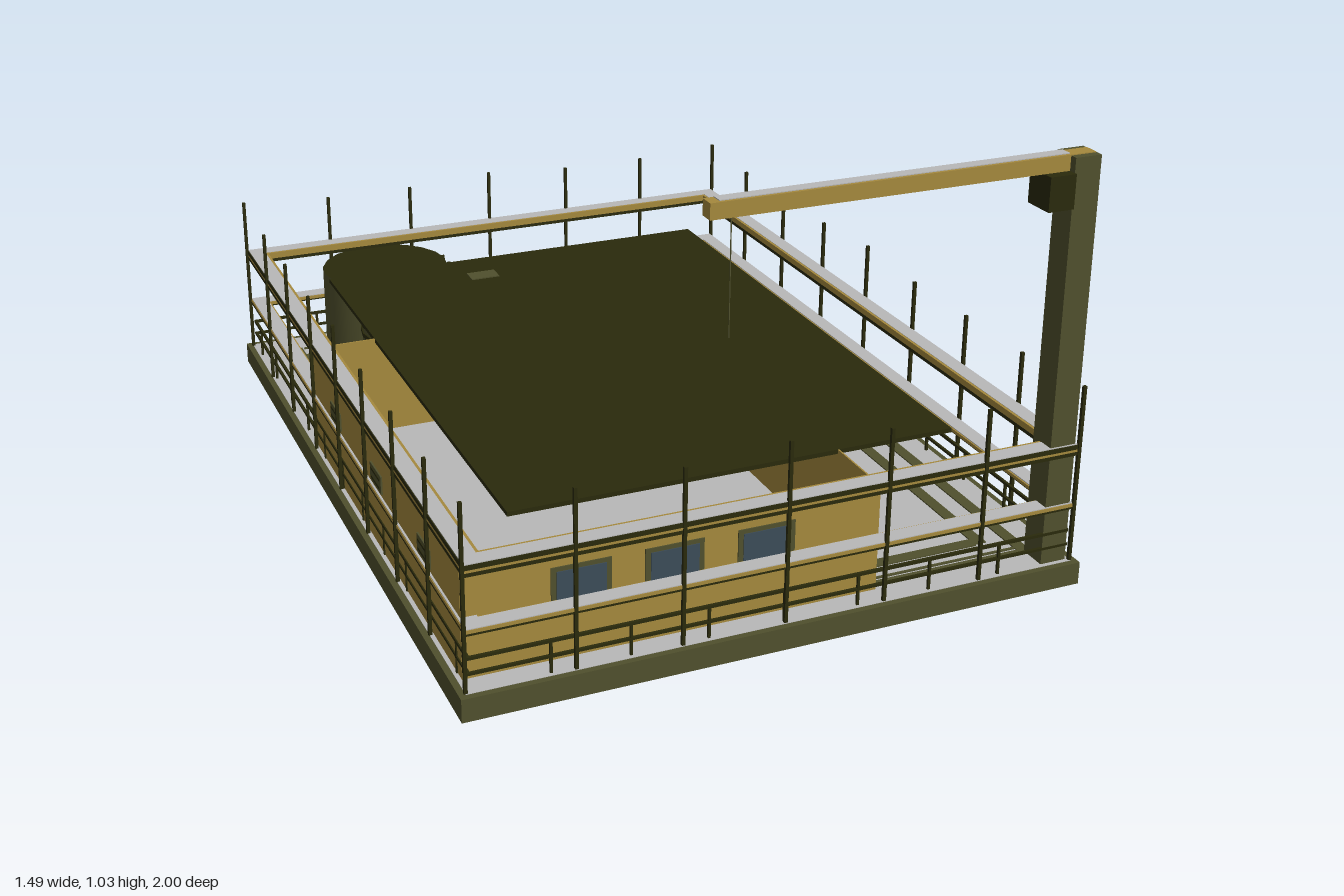
import * as THREE from 'three';

const mat = (name, color) => Object.assign(new THREE.MeshStandardMaterial({ color }), { name });
const olive = mat('olive', 0x50502d);
const dark = mat('dark olive', 0x2a2a0c);
const tan = mat('tan', 0xa5893d);
const grey = mat('grey', 0xb9b9b9);
const glass = mat('glass', 0x3c4c58);

export function createModel() {
  const root = new THREE.Group();
  root.name = 'compound';
  const add = (name, geo, m, parent = root) => {
    const mesh = new THREE.Mesh(geo, m);
    mesh.name = name;
    parent.add(mesh);
    return mesh;
  };
  const group = (name) => {
    const g = new THREE.Group();
    g.name = name;
    root.add(g);
    return g;
  };
  // Box given by its limits on each axis
  const box = (name, m, x0, x1, y0, y1, z0, z1, parent) => {
    const b = add(name, new THREE.BoxGeometry(x1 - x0, y1 - y0, z1 - z0), m, parent);
    b.position.set((x0 + x1) / 2, (y0 + y1) / 2, (z0 + z1) / 2);
    return b;
  };

  // Base: a deck on four rim boards, hollow below, with a pale floor
  const F = 0.055;
  const base = group('base');
  box('deck', olive, -0.74, 0.74, F - 0.008, F - 0.001, -0.995, 0.995, base);
  for (const s of [-1, 1]) {
    box('rimBoard', olive, -0.745, 0.745, 0, F, s * 0.9925 - 0.0075, s * 0.9925 + 0.0075, base);
    box('rimBoard', olive, s * 0.7375 - 0.0075, s * 0.7375 + 0.0075, 0, F, -0.985, 0.985, base);
  }
  box('floor', grey, -0.73, 0.73, F - 0.002, F + 0.001, -0.985, 0.985, base);

  // Walkway strips on the floor
  const paths = group('walkways');
  const strip = (x0, x1, z0, z1) => box('walkwayStrip', olive, x0, x1, F, F + 0.004, z0, z1, paths);
  strip(-0.605, -0.565, -0.85, 0.84);
  strip(-0.645, -0.605, -0.9, -0.77);
  strip(-0.645, -0.63, -0.77, 0.9);
  strip(0.565, 0.595, -0.18, 0.84);
  strip(0.64, 0.67, -0.18, 0.92);
  strip(-0.565, 0.24, -0.85, -0.815);
  strip(-0.6, 0.24, -0.9, -0.892);
  strip(-0.565, 0.565, 0.815, 0.845);
  strip(-0.53, 0.53, 0.75, 0.775);
  strip(-0.63, 0.64, 0.885, 0.892);
  strip(0, 0.64, 0.9, 0.92);
  strip(-0.02, 0.02, -0.93, -0.75);
  strip(-0.02, 0.02, 0.75, 0.92);
  strip(-0.675, -0.56, -0.02, 0.02);
  strip(0.545, 0.675, -0.02, 0.02);

  // Yard with an octagonal track and a dark middle
  const yard = group('yard');
  box('yardCurb', dark, 0.24, 0.27, F, 0.072, -0.93, -0.19, yard);
  box('yardCurb', dark, 0.24, 0.675, F, 0.072, -0.215, -0.19, yard);
  const octagon = (T, x0, x1, z0, z1, c) => {
    const s = new T();
    [[x0 + c, z0], [x1 - c, z0], [x1, z0 + c], [x1, z1 - c], [x1 - c, z1], [x0 + c, z1], [x0, z1 - c], [x0, z0 + c]]
      .forEach(([x, z], i) => (i ? s.lineTo(x, -z) : s.moveTo(x, -z)));
    s.closePath();
    return s;
  };
  const slab = (name, shape) => {
    const m = add(name, new THREE.ExtrudeGeometry(shape, { depth: 0.015, bevelEnabled: false }), dark, yard);
    m.rotation.x = -Math.PI / 2;
    m.position.y = F;
  };
  const track = octagon(THREE.Shape, 0.305, 0.65, -0.89, -0.26, 0.055);
  track.holes.push(octagon(THREE.Path, 0.337, 0.618, -0.858, -0.292, 0.045));
  slab('track', track);
  slab('trackMiddle', octagon(THREE.Shape, 0.375, 0.578, -0.82, -0.33, 0.04));

  // House with thin walls
  const house = group('house');
  const H = 0.3165, L = -0.72, R = 0.25, B = -0.29, Z = 0.93, T = 0.004;
  box('frontWall', tan, L, R, F, 0.322, Z - T, Z, house);
  box('backWall', tan, L, R, F, H, B, B + T, house);
  box('leftWall', tan, L, L + T, F, 0.322, B, Z, house);
  box('rightWall', tan, R - T, R, F, H, B, Z, house);
  box('door', dark, R - 0.002, R + 0.002, 0.06, H, 0.13, 0.5, house);

  // Front windows
  for (const x of [-0.455, -0.243, -0.027]) {
    box('windowFrame', olive, x - 0.068, x + 0.068, 0.165, 0.275, Z - 0.002, Z + 0.003, house);
    box('windowGlass', glass, x - 0.056, x + 0.056, 0.176, 0.265, Z, Z + 0.005, house);
  }
  // Louvred windows on the outside of the side walls
  for (const z of [0.69, 0.32, -0.04]) {
    for (const x of [L - 0.001, R + 0.001]) {
      box('sideWindow', olive, x - 0.003, x + 0.003, 0.212, 0.257, z - 0.045, z + 0.045, house);
      for (const y of [0.224, 0.245])
        box('louvre', dark, x - 0.0045, x + 0.0045, y - 0.003, y + 0.003, z - 0.036, z + 0.036, house);
    }
  }
  // Small stands beside the door
  for (const z of [0.53, 0.1]) {
    for (const d of [-0.015, 0.015])
      box('standPost', tan, 0.275, 0.283, F, 0.17, z + d - 0.004, z + d + 0.004, house);
    box('standTop', tan, 0.25, 0.3, 0.165, 0.175, z - 0.02, z + 0.02, house);
  }

  // Wide flat roof with hatch
  box('roof', dark, -0.55, 0.545, 0.306, 0.317, -0.75, 0.74);
  box('roofHatch', olive, -0.185, -0.105, 0.315, 0.32, -0.64, -0.59);

  // Olive tanks with dark tops
  for (const [z, r] of [[-0.8, 0.175], [-0.45, 0.16]]) {
    const t = add('tank', new THREE.CylinderGeometry(r, r, 0.26, 20), [olive, dark, dark]);
    t.position.set(-0.375, F + 0.13, z);
  }
  // Dark hoops round the covered tank
  for (const y of [0.262, 0.29]) {
    const hoop = add('tankHoop', new THREE.CylinderGeometry(0.164, 0.164, 0.012, 20), dark);
    hoop.position.set(-0.375, y, -0.45);
  }
  // Ladder on the open tank
  for (const z of [-0.83, -0.77]) box('ladderRail', dark, -0.2, -0.19, F, 0.31, z - 0.004, z + 0.004);
  for (let y = 0.09; y < 0.3; y += 0.04) box('ladderRung', dark, -0.198, -0.192, y, y + 0.006, -0.83, -0.77);

  // Tapered tan vat
  const vat = add('vat', new THREE.CylinderGeometry(0.148, 0.12, 0.215, 16), [tan, dark, dark]);
  vat.position.set(0.197, F + 0.1075, -0.617);

  // Perimeter fence: beams, thin pipes and posts
  const fence = group('fence');
  // One straight rail on every side; o is the inset from the fence line
  const around = (name, m, y0, y1, o, w) => {
    const ex = 0.727 - o, ez = 0.98 - o;
    for (const s of [-1, 1]) {
      const x = s * (ex - w / 2), z = s * (ez - w / 2);
      box(name, m, -ex, ex, y0, y1, z - w / 2, z + w / 2, fence);
      box(name, m, x - w / 2, x + w / 2, y0, y1, -ez + w, ez - w, fence);
    }
  };
  around('topBeamFoot', dark, 0.322, 0.331, 0, 0.046);
  around('topBeam', tan, 0.331, 0.337, 0, 0.046);
  around('topBeamHead', dark, 0.337, 0.348, 0, 0.042);
  around('topBeamInside', tan, 0.337, 0.349, 0.042, 0.007);
  around('topBeamCap', grey, 0.348, 0.35, 0.002, 0.04);
  around('midBeamFoot', dark, 0.187, 0.192, 0, 0.042);
  around('midBeam', tan, 0.192, 0.2, 0, 0.046);
  around('midBeamCap', grey, 0.2, 0.202, 0.002, 0.04);
  around('upperPipe', dark, 0.128, 0.135, 0.004, 0.007);
  around('lowerPipe', dark, 0.092, 0.098, 0.004, 0.007);

  const post = (name, x, z, h, w) => box(name, dark, x - w, x + w, F, h, z - w, z + w, fence);
  for (const s of [-1, 1]) {
    for (let i = -3; i <= 3; i++)
      post('tallPost', i * 0.243, s * 0.979, i % 3 ? 0.477 : 0.492, 0.004);
    for (let i = -2; i <= 2; i++)
      post('tallPost', s * 0.728, i * 0.245, i ? 0.477 : 0.492, 0.004);
    for (const z of [-0.735, 0.735]) post('tallPost', s * 0.728, z, 0.477, 0.004);
    for (let i = -3; i <= 3; i++) post('shortPost', i * 0.18, s * 0.973, 0.132, 0.003);
    for (let i = -5; i <= 5; i++) post('shortPost', s * 0.72, i * 0.18, 0.132, 0.003);
  }

  // Crane in the front left corner
  const crane = group('crane');
  box('craneColumn', olive, 0.655, 0.72, F, 1.03, 0.907, 0.975, crane);
  box('craneBracket', dark, 0.592, 0.656, 0.917, 0.996, 0.903, 0.981, crane);
  box('craneBoom', tan, -0.188, 0.718, 0.996, 1.032, 0.922, 0.957, crane);
  box('boomCap', grey, -0.165, 0.656, 1.032, 1.034, 0.922, 0.95, crane);
  box('craneCable', olive, -0.134, -0.132, 0.73, 0.997, 0.939, 0.941, crane);

  return root;
}
